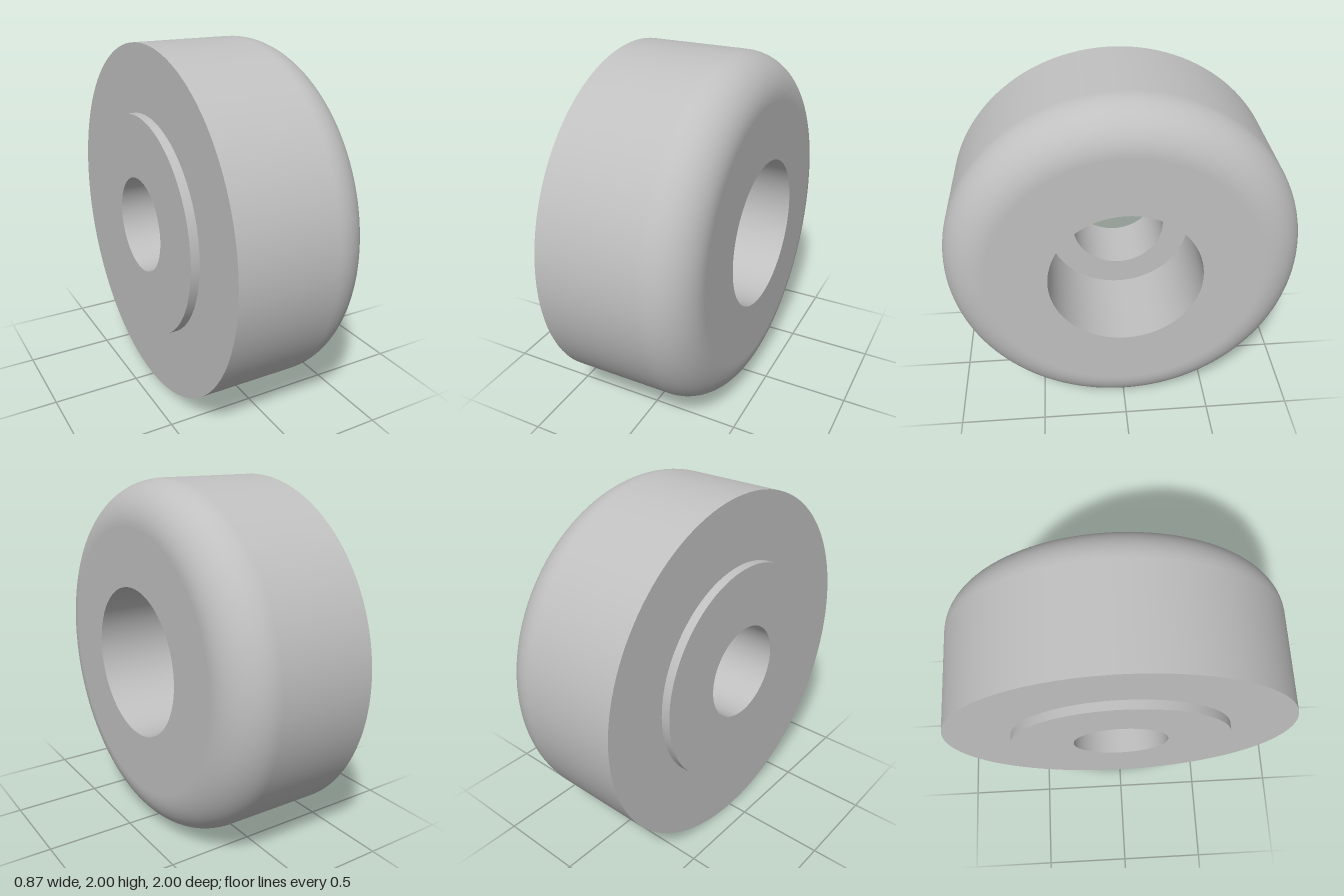
import * as THREE from 'three';

const SEGMENTS = 128;

export function createModel() {
  const group = new THREE.Group();
  group.name = 'roundedRoller';
  const grey = new THREE.MeshStandardMaterial({ color: 0xc0c0c0 });
  grey.name = 'grey';

  const left = -0.435, shoulder = -0.385, floor = -0.08, right = 0.435;
  const outer = 1, boss = 0.625, bore = 0.27, pocket = 0.425, fillet = 0.24;

  // Revolve a run of [radius, x] points about the x axis
  const revolve = (name, points) => {
    const geometry = new THREE.LatheGeometry(points.map(([r, x]) => new THREE.Vector2(r, x)), SEGMENTS);
    geometry.rotateZ(-Math.PI / 2);
    const mesh = new THREE.Mesh(geometry, grey);
    mesh.name = name;
    mesh.position.y = outer;
    group.add(mesh);
  };

  // Raised boss and flat back
  revolve('bossFace', [[bore, left], [boss, left]]);
  revolve('bossRim', [[boss, left], [boss, shoulder]]);
  revolve('backFace', [[boss, shoulder], [outer, shoulder]]);

  // Outer tread, rounded edge and flat face
  revolve('tread', [[outer, shoulder], [outer, right - fillet]]);
  const arc = Array.from({ length: 25 }, (_, i) => {
    const a = (i / 24) * Math.PI / 2;
    return [outer - fillet + fillet * Math.cos(a), right - fillet + fillet * Math.sin(a)];
  });
  revolve('roundedEdge', arc);
  revolve('outerFace', [[outer - fillet, right], [pocket, right]]);

  // Counterbored hole
  revolve('pocketWall', [[pocket, right], [pocket, floor]]);
  revolve('pocketFloor', [[pocket, floor], [bore, floor]]);
  revolve('boreWall', [[bore, floor], [bore, left]]);

  return group;
}
